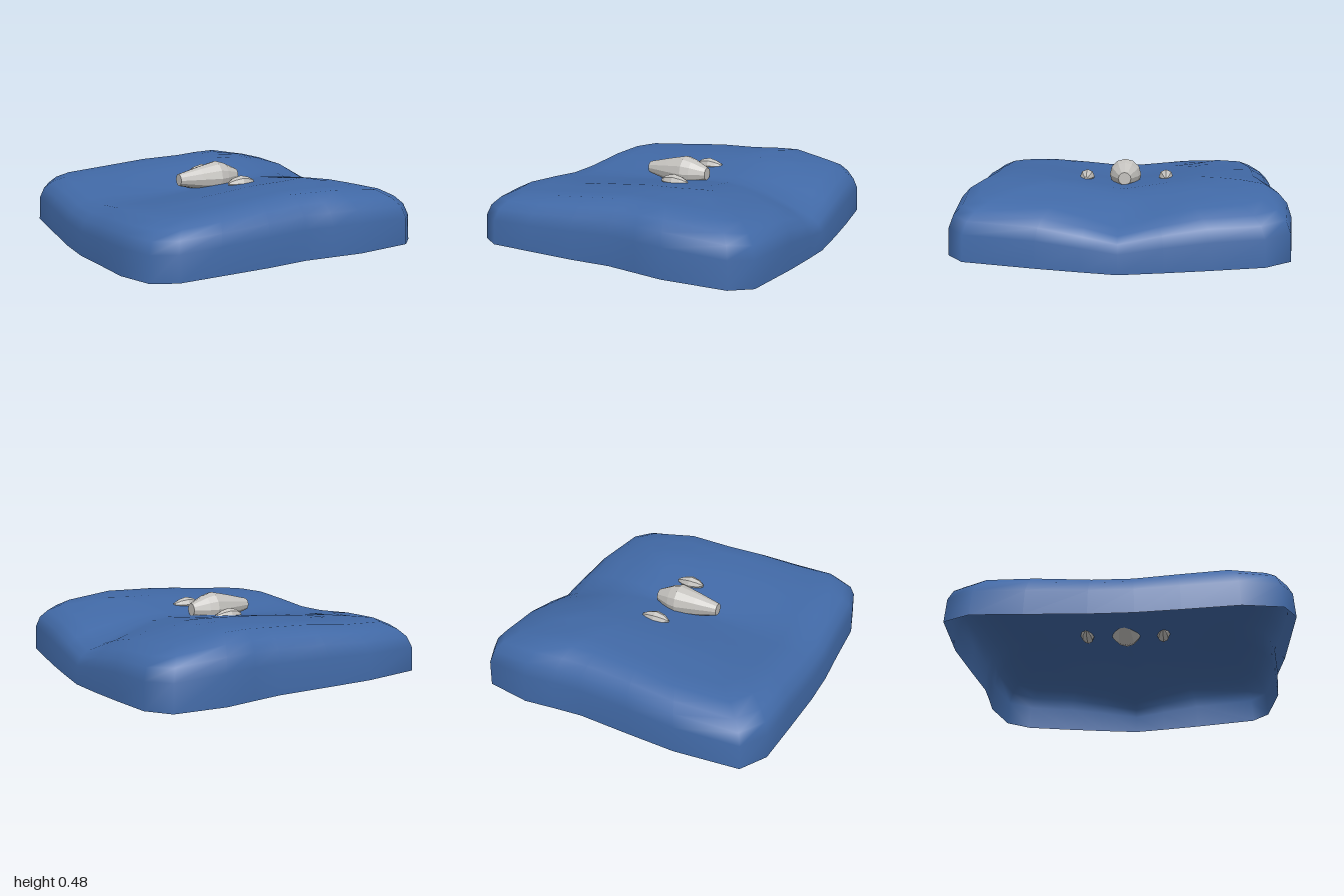
import * as THREE from 'three';

const blue = new THREE.MeshStandardMaterial({ color: 0x4169a6, side: THREE.DoubleSide });
blue.name = 'blue cloth';
const grey = new THREE.MeshStandardMaterial({ color: 0xc4c2be, flatShading: true });
grey.name = 'pale grey';

// Hem outline seen from above, as [x, z]
const outline = [
  [-0.83, -0.965], [-0.45, -1], [-0.15, -0.985], [0.17, -0.965], [0.35, -0.98], [0.54, -1],
  [0.83, -0.95], [0.92, -0.8], [0.94, -0.5], [0.95, -0.25], [0.953, 0], [0.945, 0.2],
  [0.93, 0.45], [0.89, 0.86], [0.78, 0.96], [0.41, 0.995], [0.23, 0.975], [0.05, 0.955],
  [-0.2, 0.975], [-0.5, 0.978], [-0.75, 0.98], [-0.88, 0.9], [-0.94, 0.67], [-0.945, 0.35],
  [-0.953, 0.1], [-0.95, -0.15], [-0.935, -0.5], [-0.92, -0.8],
];

// Ridge height across the width
const ridge = [[-1, 0.31], [-0.8, 0.335], [-0.4, 0.36], [0, 0.4], [0.38, 0.422], [0.6, 0.39], [0.8, 0.345], [1, 0.3]];

function ridgeAt(x) {
  const i = Math.max(1, ridge.findIndex((p) => p[0] >= x));
  const [x0, y0] = ridge[i - 1];
  const [x1, y1] = ridge[i];
  return THREE.MathUtils.lerp(y0, y1, (x - x0) / (x1 - x0));
}

const bump = (x, z, cx, cz, r) => Math.exp(-((x - cx) ** 2 + (z - cz) ** 2) / (r * r));

// Top surface: ridge, sunken valley along z = 0 and a few dents at the edges
function topHeight(x, z) {
  const valley = THREE.MathUtils.lerp(0.05, 0.072, THREE.MathUtils.clamp((x + 0.8) / 0.6, 0, 1));
  return ridgeAt(x)
    - valley * Math.max(0, 1 - Math.abs(z) / 0.5)
    - 0.05 * bump(x, z, 0.84, 0, 0.2)
    - 0.02 * bump(x, z, 0.4, 0.85, 0.3)
    - 0.015 * bump(x, z, 0.2, -0.9, 0.18);
}

// Draped cloth: rings run up the wall, over the shoulder and in to the centre
function makeCloth() {
  const shoulder = 0.84;
  const rings = [[1, 0], [0.993, 0.5], [0.967, 0.72], [0.92, 0.87], [shoulder, 1],
    [0.72, 1], [0.6, 1], [0.48, 1], [0.36, 1], [0.24, 1], [0.12, 1]];
  const n = outline.length;
  const positions = [];
  const index = [];
  rings.forEach(([s, rise], r) => {
    outline.forEach(([x, z], i) => {
      const hem = 0.052 * Math.min(1, Math.abs(z));
      const k = Math.min(s, shoulder);
      const y = THREE.MathUtils.lerp(hem, topHeight(x * k, z * k), rise);
      positions.push(x * s, y, z * s);
      if (r > 0) {
        const j = (i + 1) % n;
        const a = (r - 1) * n + i, b = (r - 1) * n + j, c = r * n + i, d = r * n + j;
        index.push(a, c, b, b, c, d);
      }
    });
  });
  // Close the middle
  const centre = positions.length / 3;
  positions.push(0, topHeight(0, 0), 0);
  for (let i = 0; i < n; i++) {
    const base = (rings.length - 1) * n;
    index.push(base + i, centre, base + (i + 1) % n);
  }
  const geometry = new THREE.BufferGeometry();
  geometry.setAttribute('position', new THREE.Float32BufferAttribute(positions, 3));
  geometry.setIndex(index);
  geometry.computeVertexNormals();
  return geometry;
}

// Faceted spindle lying along x; profile is [x, radius]
function makeSpindle(name, profile, sides, x, y, z) {
  const points = [[profile[0][0], 0], ...profile, [profile[profile.length - 1][0], 0]]
    .map(([along, radius]) => new THREE.Vector2(radius, along));
  const geometry = new THREE.LatheGeometry(points, sides);
  geometry.rotateZ(-Math.PI / 2);
  const mesh = new THREE.Mesh(geometry, grey);
  mesh.name = name;
  mesh.position.set(x, y, z);
  return mesh;
}

export function createModel() {
  const group = new THREE.Group();
  group.name = 'drapedCloth';

  const cloth = new THREE.Mesh(makeCloth(), blue);
  cloth.name = 'cloth';
  group.add(cloth);

  // Large spindle with a smaller one on each side
  group.add(makeSpindle('largeSpindle',
    [[-0.25, 0.038], [-0.11, 0.073], [0.015, 0.101], [0.07, 0.085], [0.165, 0.04]], 12, 0, 0.376, -0.01));
  const small = [[-0.088, 0.01], [-0.055, 0.033], [0, 0.046], [0.05, 0.034], [0.088, 0.014]];
  group.add(makeSpindle('frontSpindle', small, 8, 0.062, 0.37, 0.232));
  group.add(makeSpindle('backSpindle', small, 8, 0.052, 0.37, -0.27));
  return group;
}
